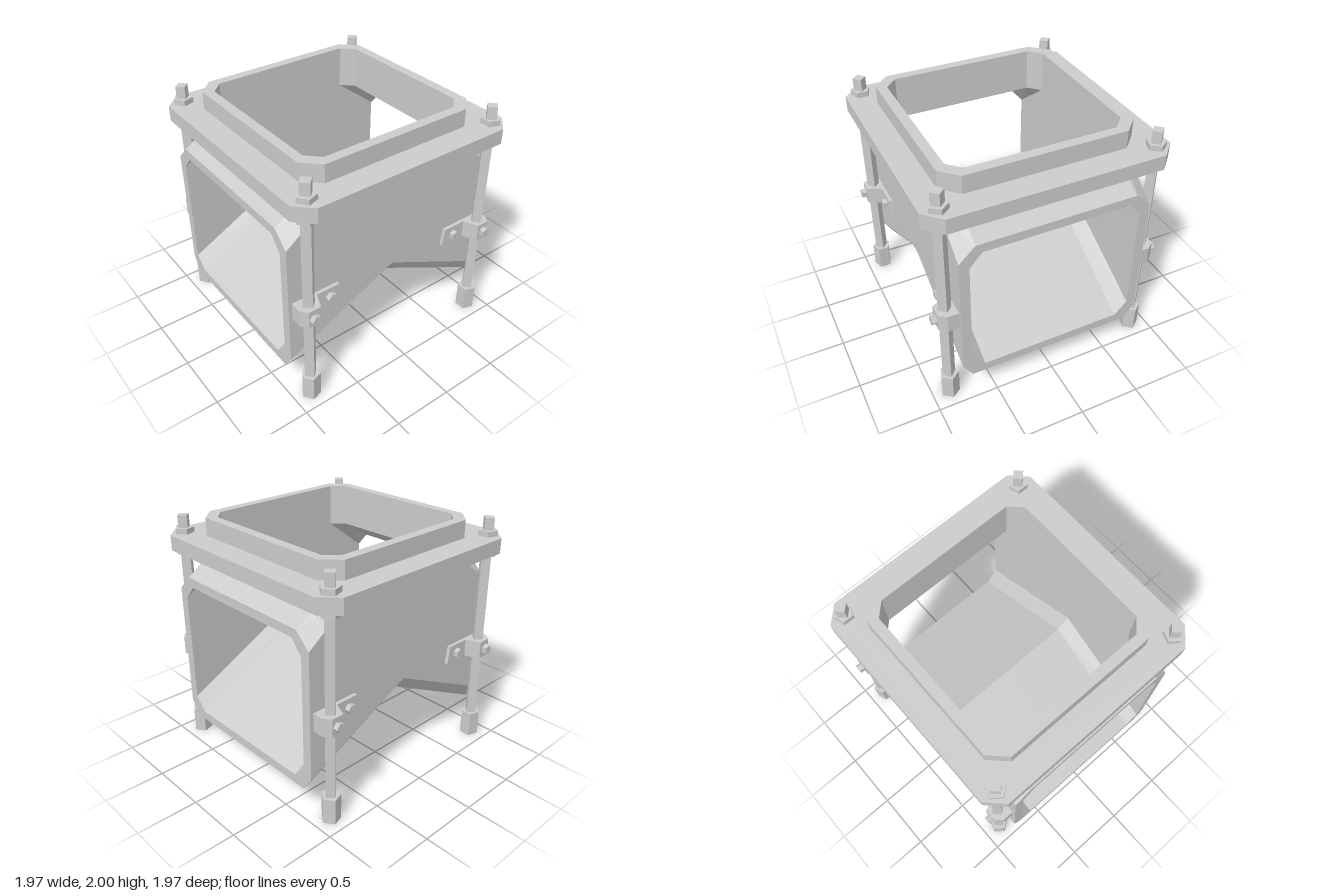
import * as THREE from 'three';

const mat = new THREE.MeshStandardMaterial({ color: 0xcccccc, flatShading: true, side: THREE.DoubleSide });

function add(parent, name, geo, x = 0, y = 0, z = 0) {
  const m = new THREE.Mesh(geo, mat);
  m.name = name;
  m.position.set(x, y, z);
  parent.add(m);
  return m;
}

// Corner points of one quarter of the forked duct skin
function skin({ h, c, d, mid, s1, s2, b1, b0, r1, r0 }) {
  const e = 0.98;
  return {
    A: [0, 2, h], B: [c, 2, h], C: [h, 2, c], D: [h, 2, 0],
    E: [c, mid, h], F: [h, mid, c], G: [h, mid, 0],
    H: [e, s1, h], I: [e, s2, c], J: [e, s2, 0],
    K: [e, b1, h], L: [e, b0, d], N: [e, b0, 0],
    P: [0, r1, h], Q: [0, r0, d], R: [0, r0, 0],
  };
}

// Thick duct: outer and inner skins joined by rims, mirrored into four quarters
function ductGeometry() {
  const outer = skin({ h: 0.78, c: 0.65, d: 0.7, mid: 1.67, s1: 1.43, s2: 1.555, b1: 0.38, b0: 0.255, r1: 0.85, r0: 0.74 });
  const inner = skin({ h: 0.7, c: 0.6, d: 0.595, mid: 1.65, s1: 1.365, s2: 1.48, b1: 0.44, b0: 0.33, r1: 0.95, r0: 0.85 });
  const walls = ['APKHEB', 'BEFC', 'CFGD', 'EHIF', 'FIJG', 'PQLK', 'QRNL'];
  const polys = [];
  for (const w of walls) {
    polys.push([...w].map(k => outer[k]));
    polys.push([...w].map(k => inner[k]).reverse());
  }
  for (const rim of ['ABCD', 'JIHKLN'])
    for (let i = 0; i < rim.length - 1; i++) {
      const a = rim[i], b = rim[i + 1];
      polys.push([outer[a], outer[b], inner[b], inner[a]]);
    }
  const pos = [];
  for (const sx of [1, -1]) for (const sz of [1, -1])
    for (const p of polys)
      for (let i = 1; i < p.length - 1; i++) {
        const tri = sx * sz > 0 ? [p[0], p[i], p[i + 1]] : [p[0], p[i + 1], p[i]];
        for (const v of tri) pos.push(v[0] * sx, v[1], v[2] * sz);
      }
  const g = new THREE.BufferGeometry();
  g.setAttribute('position', new THREE.Float32BufferAttribute(pos, 3));
  g.computeVertexNormals();
  return g;
}

// Square outline with cut corners
function octagon(h, c) {
  return [[c, h], [h, c], [h, -c], [c, -h], [-c, -h], [-h, -c], [-h, c], [-c, h]].map(p => new THREE.Vector2(...p));
}

function flangeGeometry() {
  const s = new THREE.Shape(octagon(0.985, 0.855));
  s.holes.push(new THREE.Path(octagon(0.78, 0.65)));
  return new THREE.ExtrudeGeometry(s, { depth: 0.125, bevelEnabled: false }).rotateX(-Math.PI / 2);
}

// Strap that humps over a leg, with a slanted tab end
function bracketGeometry(sx, sz) {
  const pts = [[0.52, 0.775], [0.52, 0.81], [0.75, 0.81], [0.8, 0.93], [0.905, 0.93], [0.95, 0.87], [0.95, 0.775]];
  const s = new THREE.Shape(pts.map(([x, z]) => new THREE.Vector2(x * sx, -z * sz)));
  const g = new THREE.ExtrudeGeometry(s, { depth: 0.15, bevelEnabled: false }).rotateX(-Math.PI / 2);
  const p = g.attributes.position;
  for (let i = 0; i < p.count; i++)
    if (Math.abs(p.getX(i)) < 0.6 && p.getY(i) > 0.1) p.setX(i, 0.545 * sx);
  g.computeVertexNormals();
  return g;
}

// Five-sided prism with one corner pointing along x
function pentagon(r, height, sx) {
  return new THREE.CylinderGeometry(r, r, height, 5).rotateY(sx * Math.PI / 2);
}

export function createModel() {
  const model = new THREE.Group();
  model.name = 'forkedChute';
  add(model, 'duct', ductGeometry());
  add(model, 'flange', flangeGeometry(), 0, 1.728, 0);

  for (const sx of [1, -1]) for (const sz of [1, -1]) {
    const leg = new THREE.Group();
    leg.name = (sz > 0 ? 'front' : 'back') + (sx > 0 ? 'Left' : 'Right') + 'Leg';
    model.add(leg);
    const x = 0.855 * sx, z = 0.855 * sz;

    add(leg, 'rod', new THREE.CylinderGeometry(0.053, 0.053, 1.9, 4), x, 1.05, z);
    add(leg, 'foot', pentagon(0.079, 0.22, sx), x, 0.11, z);
    add(leg, 'lowerNut', pentagon(0.079, 0.045, sx), x, 1.706, z);
    add(leg, 'upperNut', pentagon(0.079, 0.045, sx), x, 1.875, z);

    // Clamp holding the leg to the duct
    add(leg, 'bracket', bracketGeometry(sx, sz), 0, 0.79, 0);
    for (const [bx, bz] of [[0.86, 0.945], [0.63, 0.825]])
      add(leg, 'bolt', pentagon(0.04, 0.05, sx).rotateX(Math.PI / 2), bx * sx, 0.865, bz * sz);
  }
  return model;
}
